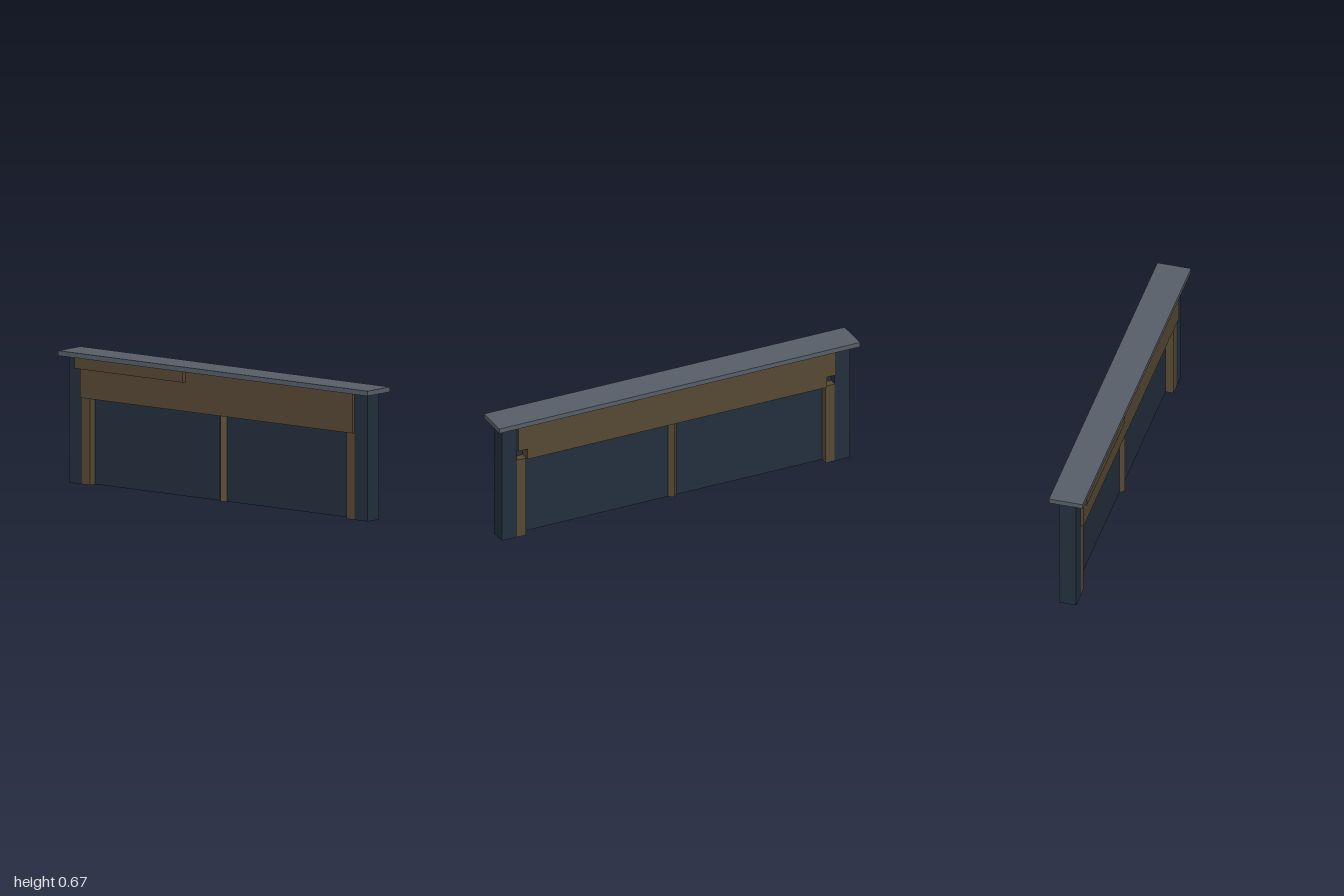
import * as THREE from 'three';

export function createModel() {
  const model = new THREE.Group();
  const material = (name, color) => {
    const m = new THREE.MeshStandardMaterial({ color });
    m.name = name;
    return m;
  };
  const navy = material('navy wall', 0x232f3d);
  const brown = material('brown timber', 0x564833);
  const grey = material('slate grey', 0x575e68);

  const add = (name, geometry, mat) => {
    const mesh = new THREE.Mesh(geometry, mat);
    mesh.name = name;
    model.add(mesh);
    return mesh;
  };
  // Box given by its extents on each axis
  const box = (name, mat, [x0, x1], [y0, y1], [z0, z1]) => {
    const mesh = add(name, new THREE.BoxGeometry(x1 - x0, y1 - y0, z1 - z0), mat);
    mesh.position.set((x0 + x1) / 2, (y0 + y1) / 2, (z0 + z1) / 2);
    return mesh;
  };

  const top = 0.64, opening = 0.437, notch = 0.495;

  // Cap slab and the thin wall panel in the middle
  box('capSlab', grey, [-1, 1], [top, 0.665], [-0.087, 0.087]);
  box('wallPanel', navy, [-0.88, 0.88], [0, top], [-0.003, 0.003]);

  // End posts with timber jambs on their inner sides
  for (const [side, s] of [['left', 1], ['right', -1]]) {
    const span = (a, b) => (s > 0 ? [a, b] : [-b, -a]);
    box(side + 'EndPost', navy, span(0.88, 0.965), [0, top], [-0.044, 0.044]);
    box(side + 'Jamb', brown, span(0.83, 0.88), [0, opening], [-0.044, 0.044]);
  }

  // Front beam
  box('frontBeam', brown, [-0.882, 0.88], [opening, top], [0.003, 0.059]);

  // Back beam with notched lower corners
  const outline = new THREE.Shape([
    [-0.83, opening], [0.83, opening], [0.83, notch], [0.88, notch],
    [0.88, top], [-0.88, top], [-0.88, notch], [-0.83, notch],
  ].map(([x, y]) => new THREE.Vector2(x, y)));
  const backBeam = new THREE.ExtrudeGeometry(outline, { depth: 0.055, bevelEnabled: false });
  backBeam.translate(0, 0, -0.058);
  add('backBeam', backBeam, brown);

  // Short board under the front of the cap
  box('frontBoard', brown, [-0.9, -0.2], [0.585, top], [0.059, 0.081]);

  // Square middle post turned corner-on
  const middle = new THREE.CylinderGeometry(0.026, 0.026, opening, 4).toNonIndexed();
  middle.computeVertexNormals();
  add('middlePost', middle, brown).position.y = opening / 2;

  return model;
}
